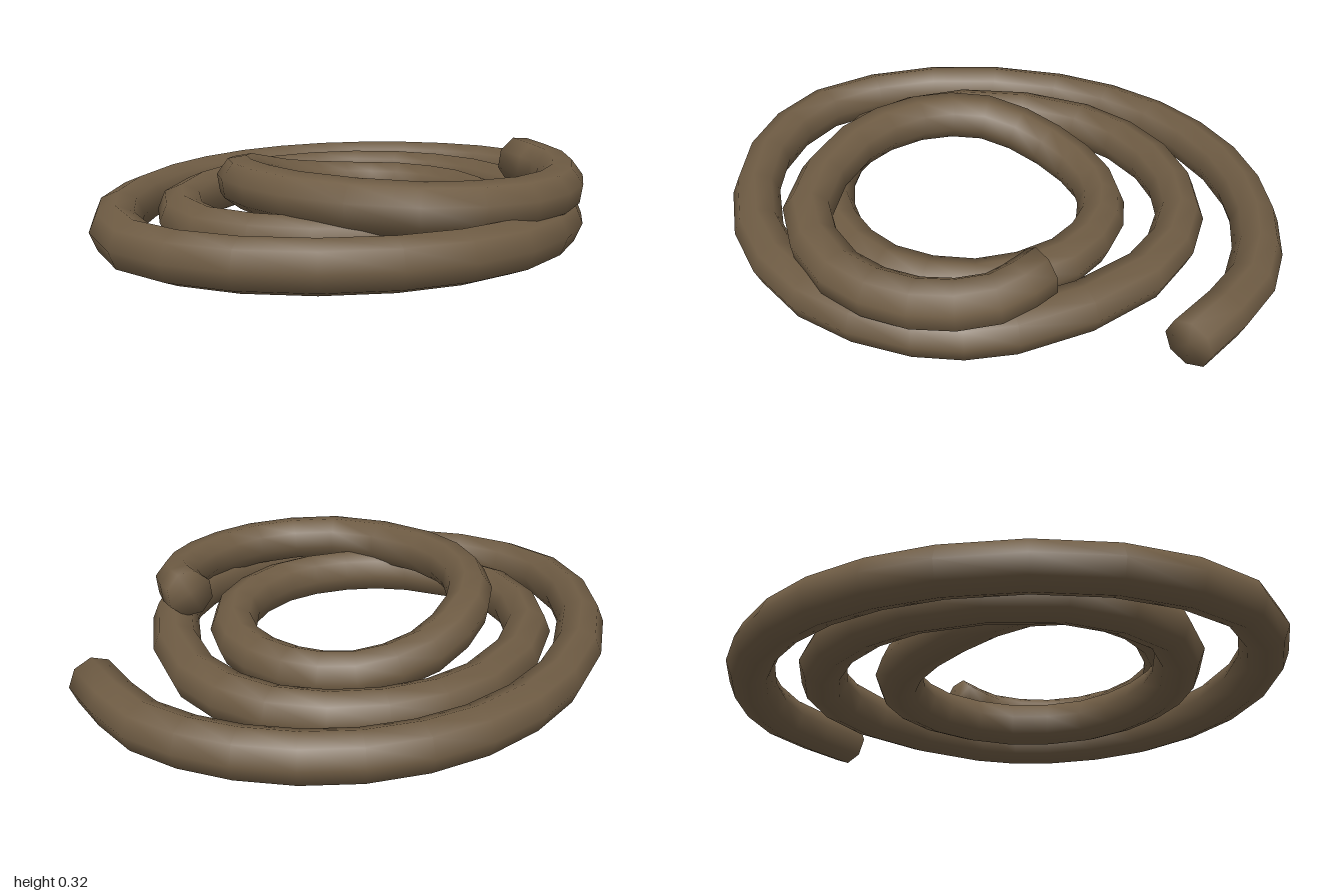
import * as THREE from 'three';
import { mergeVertices } from 'three/addons/utils/BufferGeometryUtils.js';

const RADIUS = 0.0875;
const SIDES = 8;

// Centre line of the rope: flat outer and middle coils, [x, z]
const GROUND = [
  [0.84, -0.525], [0.575, -0.8], [0.24, -0.915], [-0.13, -0.885], [-0.47, -0.69],
  [-0.725, -0.33], [-0.835, 0.2], [-0.7, 0.66], [-0.35, 0.875], [0.11, 0.875],
  [0.48, 0.675], [0.69, 0.33], [0.71, 0.02], [0.5, -0.45], [0.19, -0.65],
  [-0.17, -0.62], [-0.47, -0.39], [-0.63, 0.08], [-0.49, 0.47], [-0.14, 0.62],
  [0.14, 0.585], [0.38, 0.42], [0.49, 0.12], [0.4, -0.19], [0.19, -0.355],
];
// Inner coil climbing over the others, [x, y, z]
const RAISED = [
  [-0.04, 0.09, -0.37], [-0.27, 0.125, -0.23], [-0.4, 0.19, 0.01], [-0.38, 0.213, 0.28],
  [-0.2, 0.215, 0.53], [0.19, 0.209, 0.685], [0.52, 0.202, 0.57], [0.69, 0.203, 0.33],
  [0.71, 0.217, 0.08], [0.615, 0.237, -0.085],
];

// Tube with end caps sharing the rim vertices
function ropeGeometry(path, segments) {
  const tube = new THREE.TubeGeometry(path, segments, RADIUS, SIDES, false);
  const position = Array.from(tube.attributes.position.array);
  const index = Array.from(tube.index.array);
  const lastRing = segments * (SIDES + 1);
  const startCentre = position.length / 3;
  position.push(...path.getPoint(0).toArray(), ...path.getPoint(1).toArray());
  for (let j = 0; j < SIDES; j++) {
    index.push(startCentre, j, j + 1);
    index.push(startCentre + 1, lastRing + j + 1, lastRing + j);
  }
  const geometry = new THREE.BufferGeometry();
  geometry.setAttribute('position', new THREE.Float32BufferAttribute(position, 3));
  geometry.setIndex(index);
  const merged = mergeVertices(geometry, 1e-5);
  merged.computeVertexNormals();
  return merged;
}

export function createModel() {
  const group = new THREE.Group();
  group.name = 'coiledRope';

  const ropeBrown = new THREE.MeshStandardMaterial({ color: 0x6f5c44 });
  ropeBrown.name = 'ropeBrown';

  const points = [
    ...GROUND.map(([x, z]) => new THREE.Vector3(x, RADIUS, z)),
    ...RAISED.map((p) => new THREE.Vector3(...p)),
  ];
  const path = new THREE.CatmullRomCurve3(points);
  // Step evenly between points, so the tight inner coil gets shorter segments
  path.getUtoTmapping = (u) => u;

  const rope = new THREE.Mesh(ropeGeometry(path, (points.length - 1) * 2), ropeBrown);
  rope.name = 'rope';
  group.add(rope);
  return group;
}
